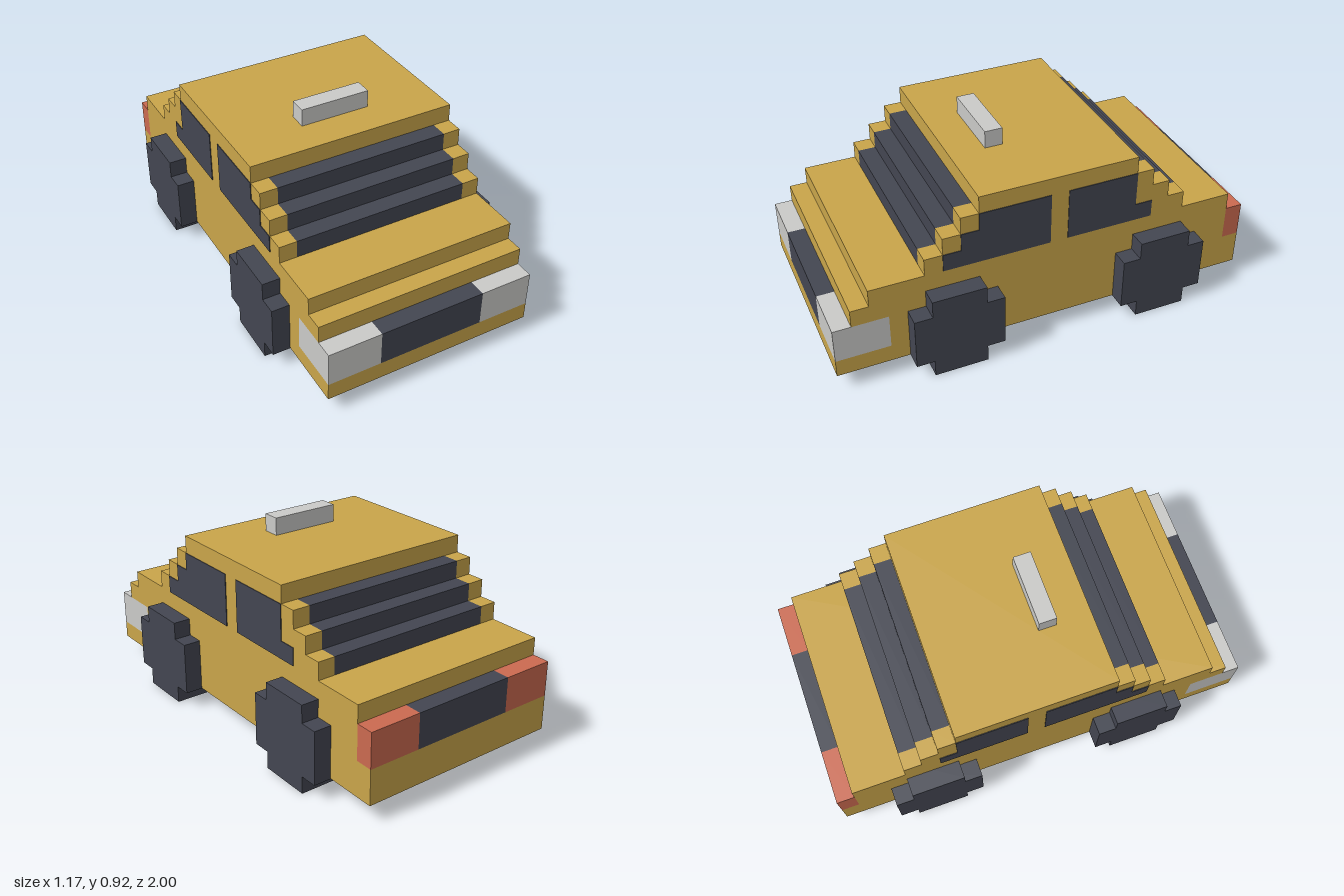
import * as THREE from 'three';

const U = 1 / 12; // one block

const material = (name, color) => {
  const m = new THREE.MeshStandardMaterial({ color });
  m.name = name;
  return m;
};

export function createModel() {
  const paint = material('yellow paint', 0xc9a54a);
  const dark = material('dark glass and rubber', 0x434651);
  const silver = material('light grey', 0xcacac8);
  const red = material('tail light red', 0xcb6a50);

  const car = new THREE.Group();
  car.name = 'car';

  // Box from its bounds, in blocks
  const block = (name, mat, [x0, x1], [y0, y1], [z0, z1], parent = car) => {
    const geo = new THREE.BoxGeometry((x1 - x0) * U, (y1 - y0) * U, (z1 - z0) * U);
    const mesh = new THREE.Mesh(geo, mat);
    mesh.name = name;
    mesh.position.set((x0 + x1) / 2 * U, (y0 + y1) / 2 * U, (z0 + z1) / 2 * U);
    parent.add(mesh);
  };
  const mirror = (s, a, b) => (s > 0 ? [a, b] : [-b, -a]);
  const full = [-6, 6];

  // Lower body, stacked in layers
  block('floorPan', paint, full, [1, 2], [-12, 12]);
  block('rearBumper', paint, full, [2, 3], [-12, 9]);
  block('bodySides', paint, full, [3, 4], [-11, 9]);
  block('hoodBase', paint, full, [4, 5], [-11, 11]);
  block('hoodAndTrunk', paint, full, [5, 6], [-11, 10]);

  // Grille and rear panel
  block('grille', dark, [-3, 3], [2, 4], [9, 12]);
  block('rearPanel', dark, [-3, 3], [3, 5], [-12, -11]);

  // Stepped cabin with a one-block glass step at each end
  for (let k = 0; k < 3; k++) {
    const y = [6 + k, 7 + k], front = [6 - k, 7 - k], back = [k - 8, k - 7];
    block('cabin', paint, full, y, [back[1], front[0]]);
    block('windshield', dark, [-5, 5], y, front);
    block('rearWindow', dark, [-5, 5], y, back);
    for (const s of [1, -1]) {
      block('frontPillar', paint, mirror(s, 5, 6), y, front);
      block('rearPillar', paint, mirror(s, 5, 6), y, back);
    }
  }
  block('roof', paint, full, [9, 10], [-5, 4]);
  block('roofSign', silver, [-2, 2], [10, 11], [1, 2]);

  // Wheel with a stepped outline around its middle z
  const wheel = (name, s, z) => {
    const group = new THREE.Group();
    group.name = name;
    const x = mirror(s, 5, 7);
    block('tireBottom', dark, x, [0, 1], [z - 1.5, z + 1.5], group);
    block('tireMiddle', dark, x, [0.98, 4], [z - 2.5, z + 2.5], group);
    block('tireTop', dark, x, [4, 5], [z - 1.5, z + 1.5], group);
    car.add(group);
  };

  for (const s of [1, -1]) {
    const side = s > 0 ? 'left' : 'right';
    block(side + 'Headlight', silver, mirror(s, 3, 6), [2, 4], [9, 12]);
    block(side + 'TailLight', red, mirror(s, 3, 6), [3, 5], [-12, -11]);
    wheel(side + 'FrontWheel', s, 5.5);
    wheel(side + 'RearWheel', s, -6.5);

    // Side windows as thin plates following the steps
    const plate = mirror(s, 5.98, 6.04);
    [6, 5, 4].forEach((z, k) =>
      block(side + 'FrontWindow', dark, plate, [6 + k, 7 + k], [0, z]));
    block(side + 'RearSideWindow', dark, plate, [6, 7], [-6, -1]);
    block(side + 'RearSideWindow', dark, plate, [7, 9], [-5, -1]);
  }
  return car;
}
